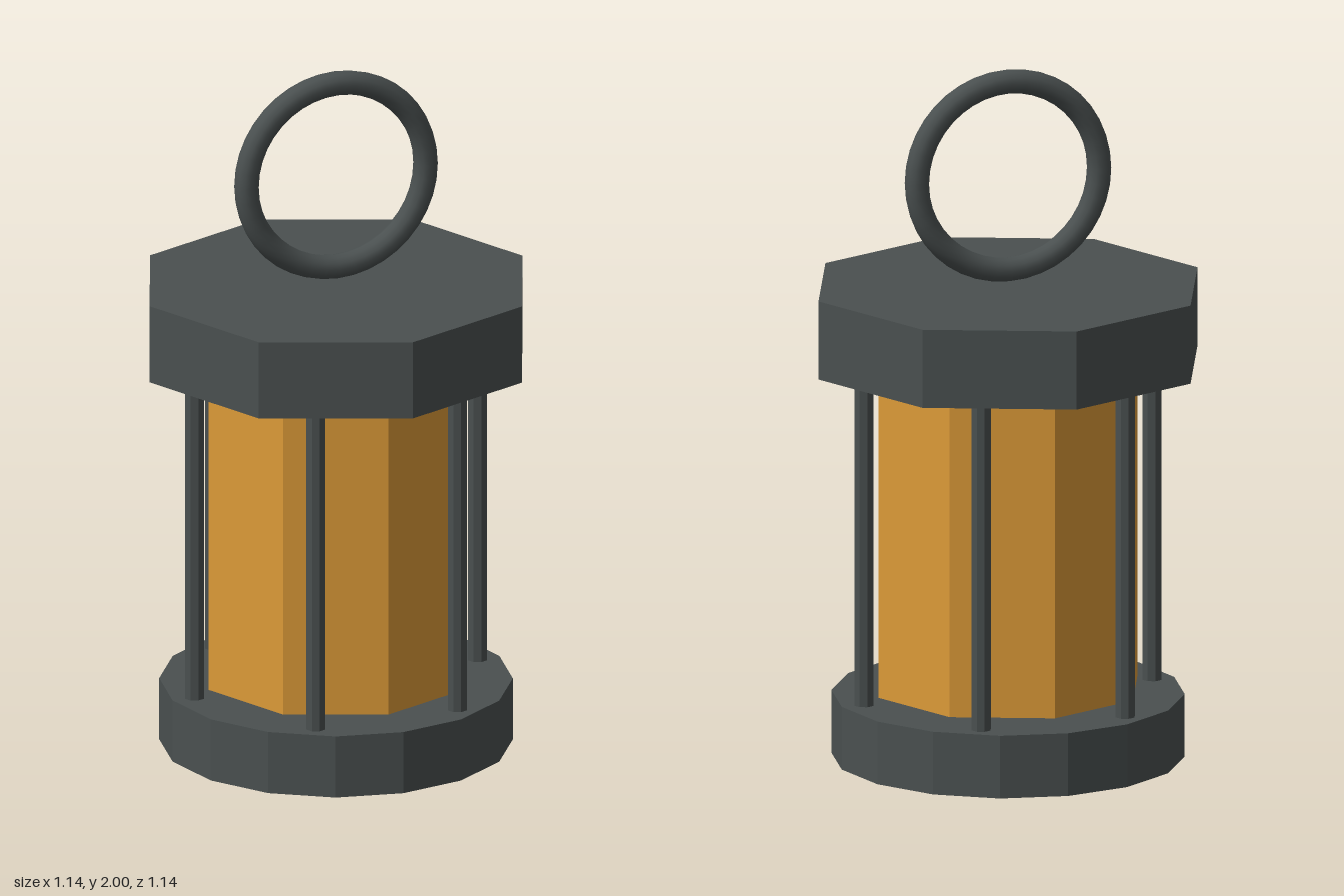
import * as THREE from 'three';

export function createModel() {
  const group = new THREE.Group();
  const iron = new THREE.MeshStandardMaterial({ color: 0x4a5050, flatShading: true });
  iron.name = 'dark iron';
  const ironSmooth = new THREE.MeshStandardMaterial({ color: 0x4a5050 });
  ironSmooth.name = 'dark iron smooth';
  const amber = new THREE.MeshStandardMaterial({ color: 0xdc9a38, flatShading: true });
  amber.name = 'amber glass';

  // Upright prism between two heights
  const prism = (name, radius, y0, y1, sides, material, x = 0, z = 0) => {
    const mesh = new THREE.Mesh(new THREE.CylinderGeometry(radius, radius, y1 - y0, sides), material);
    mesh.name = name;
    mesh.position.set(x, (y0 + y1) / 2, z);
    group.add(mesh);
  };

  prism('base', 0.5, 0, 0.183, 16, iron);
  prism('glass', 0.39, 0.2, 1.147, 8, amber);
  prism('cap', 0.57, 1.145, 1.373, 8, iron);

  // Six posts around the glass
  for (let i = 0; i < 6; i++) {
    const a = (i * Math.PI) / 3;
    prism('post', 0.029, 0.18, 1.15, 8, iron, 0.433 * Math.cos(a), 0.433 * Math.sin(a));
  }

  // Carrying ring above the cap
  const ring = new THREE.Mesh(new THREE.TorusGeometry(0.274, 0.035, 12, 40), ironSmooth);
  ring.name = 'handleRing';
  ring.position.y = 1.691;
  group.add(ring);

  return group;
}
